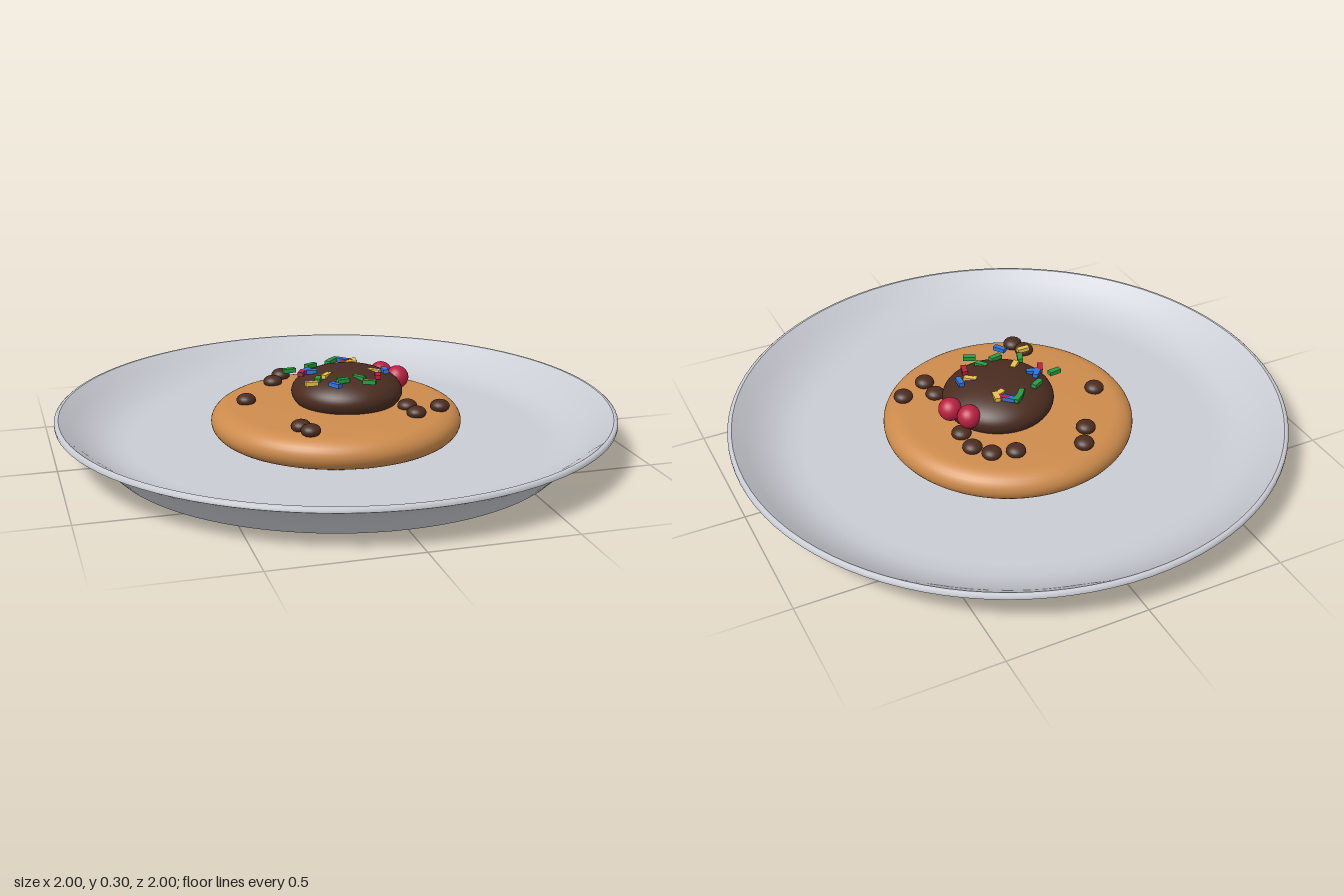
import * as THREE from 'three';

const material = (name, color) => {
  const m = new THREE.MeshStandardMaterial({ color });
  m.name = name;
  return m;
};

export function createModel() {
  const group = new THREE.Group();
  group.name = 'dessertPlate';
  const porcelain = material('porcelain', 0xc9ccd3);
  const biscuit = material('biscuit', 0xcd8b4c);
  const chocolate = material('chocolate', 0x4a2c20);
  const berryRed = material('berryRed', 0xb81f40);
  const colours = {
    green: material('sprinkleGreen', 0x2a9a44),
    yellow: material('sprinkleYellow', 0xe8c24a),
    blue: material('sprinkleBlue', 0x2f74dc),
    red: berryRed,
  };

  const add = (name, geometry, mat, x = 0, y = 0, z = 0) => {
    const mesh = new THREE.Mesh(geometry, mat);
    mesh.name = name;
    mesh.position.set(x, y, z);
    group.add(mesh);
    return mesh;
  };
  const lathe = (points, segments = 96) =>
    new THREE.LatheGeometry(points.map(([r, y]) => new THREE.Vector2(r, y)), segments);

  // Plate: flat base, flared outside wall, thin rim and a shallow dish
  add('plateBase', lathe([[0, 0], [0.82, 0]]), porcelain);
  add('plateOutside', lathe([[0.82, 0], [0.86, 0.04], [0.9, 0.085], [0.95, 0.115], [1, 0.14]]), porcelain);
  add('plateRim', lathe([[1, 0.14], [1, 0.15], [0.993, 0.156], [0.985, 0.156]]), porcelain);
  add('plateDish', lathe([[0.985, 0.156], [0.94, 0.122], [0.9, 0.094], [0.85, 0.069],
    [0.8, 0.054], [0.74, 0.05], [0, 0.05]]), porcelain);

  // Cookie: disc with a rounded edge and nearly flat top
  const profile = [[0, 0.05], [0.39, 0.05]];
  for (let i = 0; i <= 16; i++) {
    const a = -Math.PI / 2 + (i / 16) * Math.PI;
    profile.push([0.375 + 0.075 * Math.cos(a), 0.108 + 0.058 * Math.sin(a)]);
  }
  profile[1] = [0.37, 0.05];
  profile.push([0.3, 0.171], [0.15, 0.174], [0, 0.175]);
  add('cookie', lathe(profile), biscuit);

  // Flattened chocolate scoop
  add('chocolateScoop', new THREE.SphereGeometry(0.2, 48, 32), chocolate, 0.04, 0.208, 0)
    .scale.y = 0.44;

  // Chocolate chips, half sunk into the cookie
  const chip = new THREE.SphereGeometry(0.035, 20, 14);
  [[-0.12, -0.35], [-0.17, -0.27], [0.11, -0.285], [0.19, -0.26], [0.235, -0.2], [-0.315, -0.07],
    [0.235, -0.11], [0.22, 0.15], [0.33, 0.185], [0.225, 0.235], [-0.2, 0.27], [-0.18, 0.325]]
    .forEach(([x, z]) => { add('chocolateChip', chip, chocolate, x, 0.18, z).scale.y = 0.65; });

  // Berries leaning on the scoop
  const berry = new THREE.SphereGeometry(0.042, 24, 18);
  [[0.2, -0.1], [0.24, -0.03]].forEach(([x, z]) => add('berry', berry, berryRed, x, 0.232, z));

  // Sprinkles at one level: x, z, turn
  const sprinkle = new THREE.BoxGeometry(0.045, 0.015, 0.02);
  const sprinkles = {
    green: [[-0.07, -0.09, 0.5], [-0.16, -0.05, 0.1], [0.055, 0.105, -0.9], [0.075, 0.165, -0.5],
      [0.03, -0.14, 0.7], [-0.09, 0.085, 1.2], [0.01, -0.12, 0.9], [-0.01, 0.125, 0.2]],
    yellow: [[-0.05, 0.05, 0.8], [-0.125, 0.13, 0], [0.13, 0.04, -0.7], [0.095, -0.1, 1.4], [0.08, -0.09, 0.4]],
    blue: [[0.17, 0.04, 1.5], [-0.05, 0.17, -1], [-0.1, -0.03, 0.8], [-0.09, -0.015, -0.3], [0.06, -0.13, -0.8]],
    red: [[0.125, 0.1, 1.3], [-0.125, -0.005, 1.1], [0.075, -0.115, -0.6]],
  };
  for (const [colour, list] of Object.entries(sprinkles)) {
    list.forEach(([x, z, turn]) => {
      add(`${colour}Sprinkle`, sprinkle, colours[colour], x, 0.283, z).rotation.y = turn;
    });
  }
  return group;
}
